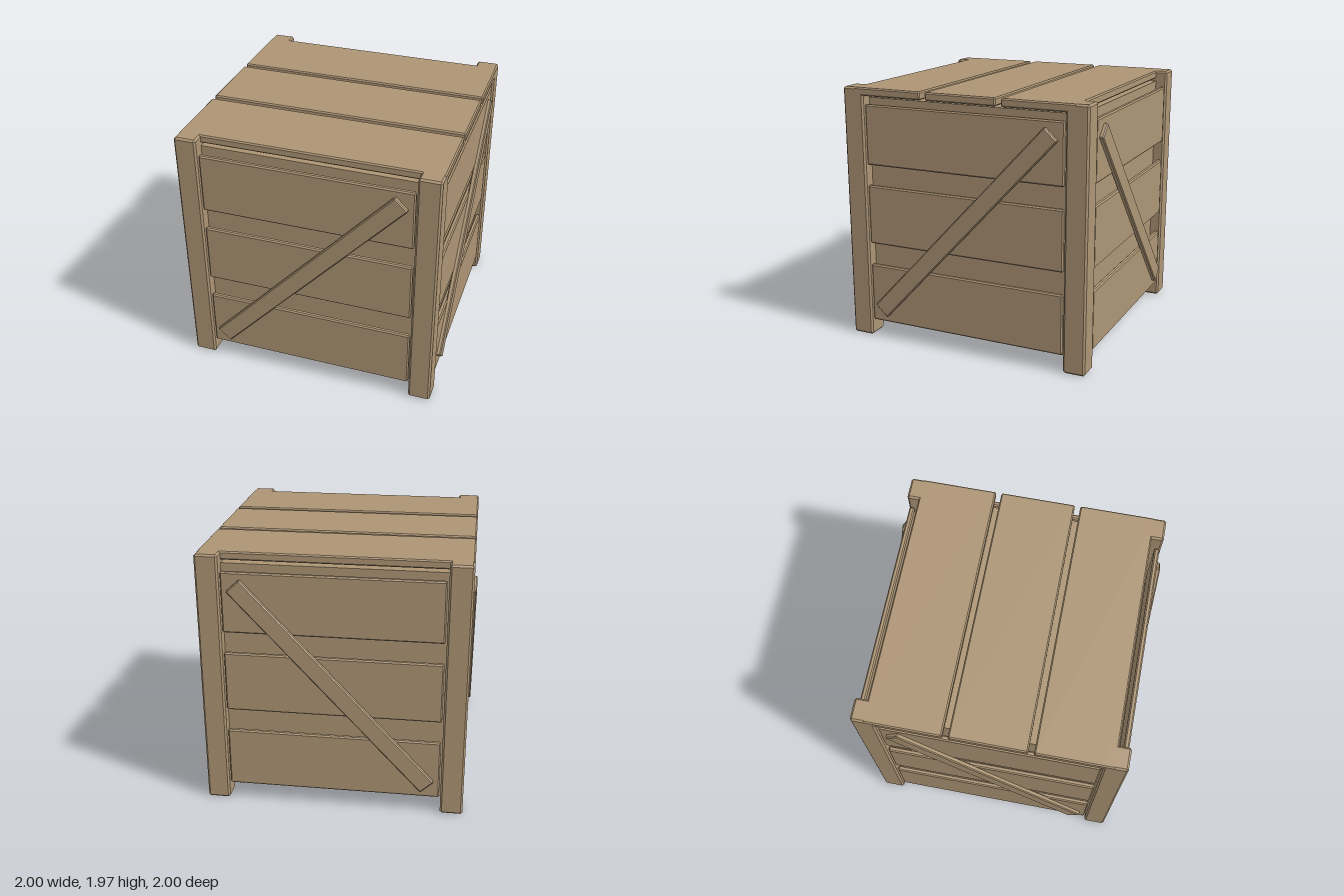
import * as THREE from 'three';
import { ConvexGeometry } from 'three/addons/geometries/ConvexGeometry.js';

// Box with flat chamfered edges, centred on the origin
function chamferBox(w, h, d, bevel) {
  const points = [];
  for (const sx of [-1, 1]) for (const sy of [-1, 1]) for (const sz of [-1, 1]) {
    for (let axis = 0; axis < 3; axis++) {
      const half = [w, h, d].map((s, i) => s / 2 - (i === axis ? 0 : bevel));
      points.push(new THREE.Vector3(sx * half[0], sy * half[1], sz * half[2]));
    }
  }
  return new ConvexGeometry(points);
}

export function createModel() {
  const crate = new THREE.Group();
  crate.name = 'woodenCrate';
  const wood = new THREE.MeshStandardMaterial({ color: 0xad9575 });
  wood.name = 'wood';

  function add(parent, name, geometry, x, y, z) {
    const mesh = new THREE.Mesh(geometry, wood);
    mesh.name = name;
    mesh.position.set(x, y, z);
    parent.add(mesh);
    return mesh;
  }

  // Inner box
  add(crate, 'innerBox', new THREE.BoxGeometry(1.78, 1.785, 1.78), 0, 0.99, 0);

  // Corner posts
  const post = chamferBox(0.17, 1.965, 0.17, 0.014);
  for (const x of [-0.895, 0.895]) for (const z of [-0.895, 0.895]) {
    add(crate, 'cornerPost', post, x, 0.9825, z);
  }

  // Lid planks
  const lidPlank = chamferBox(1.96, 0.062, 0.565, 0.01);
  for (const z of [-0.607, 0, 0.607]) add(crate, 'lidPlank', lidPlank, 0, 1.934, z);

  // Side panels: three planks and a diagonal brace each
  const sidePlank = chamferBox(1.6, 0.46, 0.04, 0.01);
  const brace = chamferBox(2.078, 0.134, 0.04, 0.008);
  const sides = [
    ['frontPanel', 0, 1],
    ['rightPanel', Math.PI / 2, 1],
    ['backPanel', Math.PI, -1],
    ['leftPanel', -Math.PI / 2, -1],
  ];
  for (const [name, turn, lean] of sides) {
    const panel = new THREE.Group();
    panel.name = name;
    panel.rotation.y = turn;
    for (const y of [0.36, 0.99, 1.61]) add(panel, 'sidePlank', sidePlank, 0, y, 0.95);
    // Braces on opposite sides run parallel
    add(panel, 'diagonalBrace', brace, 0, 0.987, 0.98).rotation.z = lean * 0.822;
    crate.add(panel);
  }
  return crate;
}
